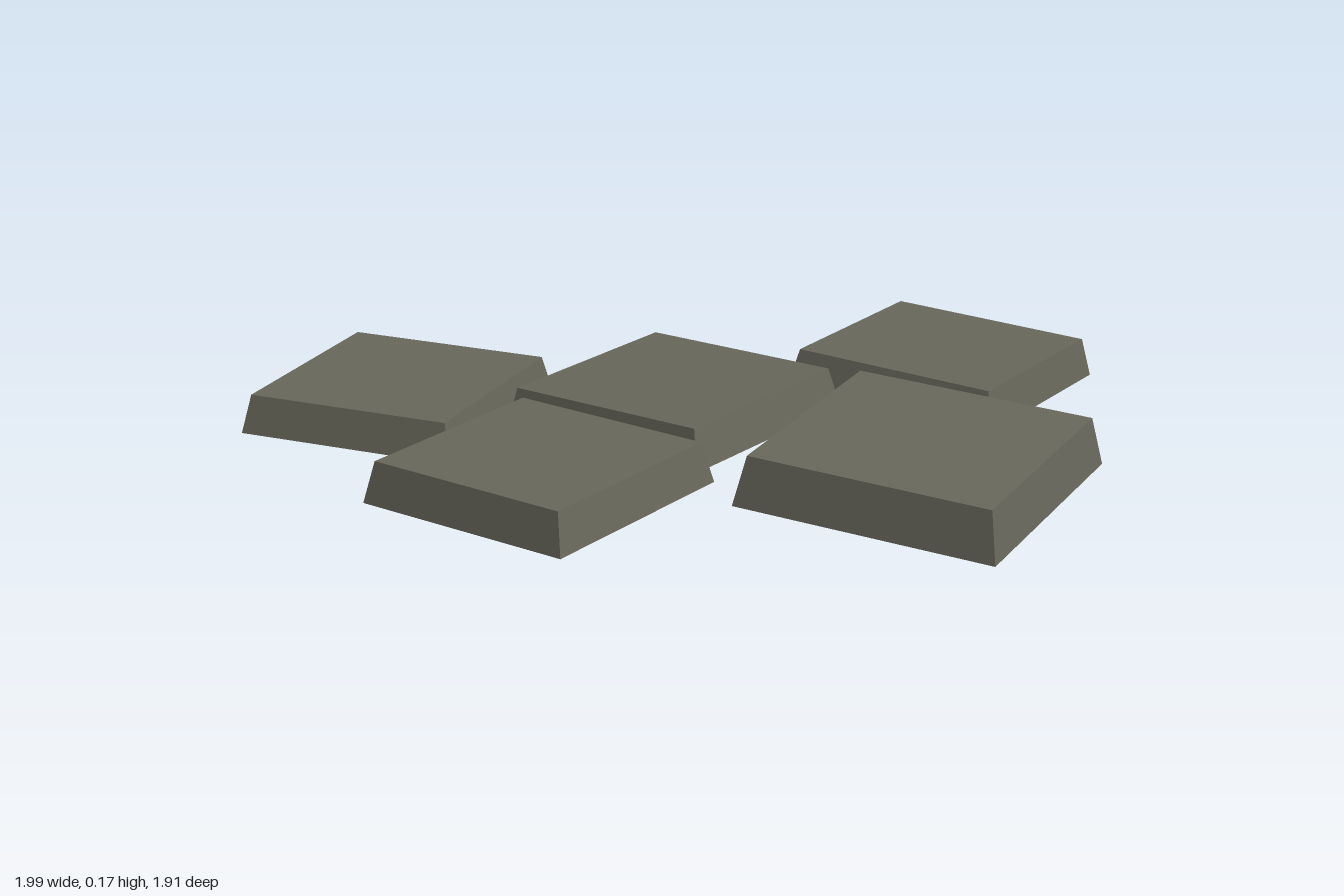
import * as THREE from 'three';

// Square slab with inward-leaning walls, hollow and open underneath
function slabGeometry(size, height, inset) {
  const geometry = new THREE.BoxGeometry(size, height, size);
  geometry.translate(0, height / 2, 0);
  const p = geometry.attributes.position;
  const taper = 1 - (2 * inset) / size;
  for (let i = 0; i < p.count; i++) {
    if (p.getY(i) > height / 2) {
      p.setX(i, p.getX(i) * taper);
      p.setZ(i, p.getZ(i) * taper);
    }
  }
  // Leave out the bottom face (fourth of six)
  const index = Array.from(geometry.index.array);
  index.splice(18, 6);
  geometry.setIndex(index);
  geometry.clearGroups();
  geometry.computeVertexNormals();
  return geometry;
}

export function createModel() {
  const group = new THREE.Group();
  group.name = 'steppingStones';

  const stone = new THREE.MeshStandardMaterial({ color: 0x68675b, side: THREE.DoubleSide });
  stone.name = 'olive grey stone';

  // Each slab: base centre, size, height, wall inset, yaw, slope along its own x and z
  const slabs = [
    { name: 'backSlab', at: [0.205, 0.038, -0.63], size: 0.575, height: 0.098, inset: 0.021, yaw: 0.174, sx: -0.026, sz: 0.03 },
    { name: 'leftSlab', at: [0.602, 0.0235, -0.043], size: 0.655, height: 0.122, inset: 0.024, yaw: 0.245, sx: -0.036, sz: -0.036 },
    { name: 'middleSlab', at: [-0.11, 0.042, 0.033], size: 0.588, height: 0.1, inset: 0.021, yaw: 0.083, sx: 0.025, sz: 0 },
    { name: 'rightSlab', at: [-0.633, 0.046, 0.47], size: 0.567, height: 0.095, inset: 0.02, yaw: 0.338, sx: 0, sz: 0 },
    { name: 'frontSlab', at: [0.025, 0.051, 0.636], size: 0.573, height: 0.1, inset: 0.021, yaw: 0.11, sx: 0, sz: 0 },
  ];

  for (const s of slabs) {
    const mesh = new THREE.Mesh(slabGeometry(s.size, s.height, s.inset), stone);
    mesh.name = s.name;
    mesh.position.set(...s.at);
    mesh.rotation.set(-s.sz, s.yaw, s.sx, 'YXZ');
    group.add(mesh);
  }
  return group;
}
